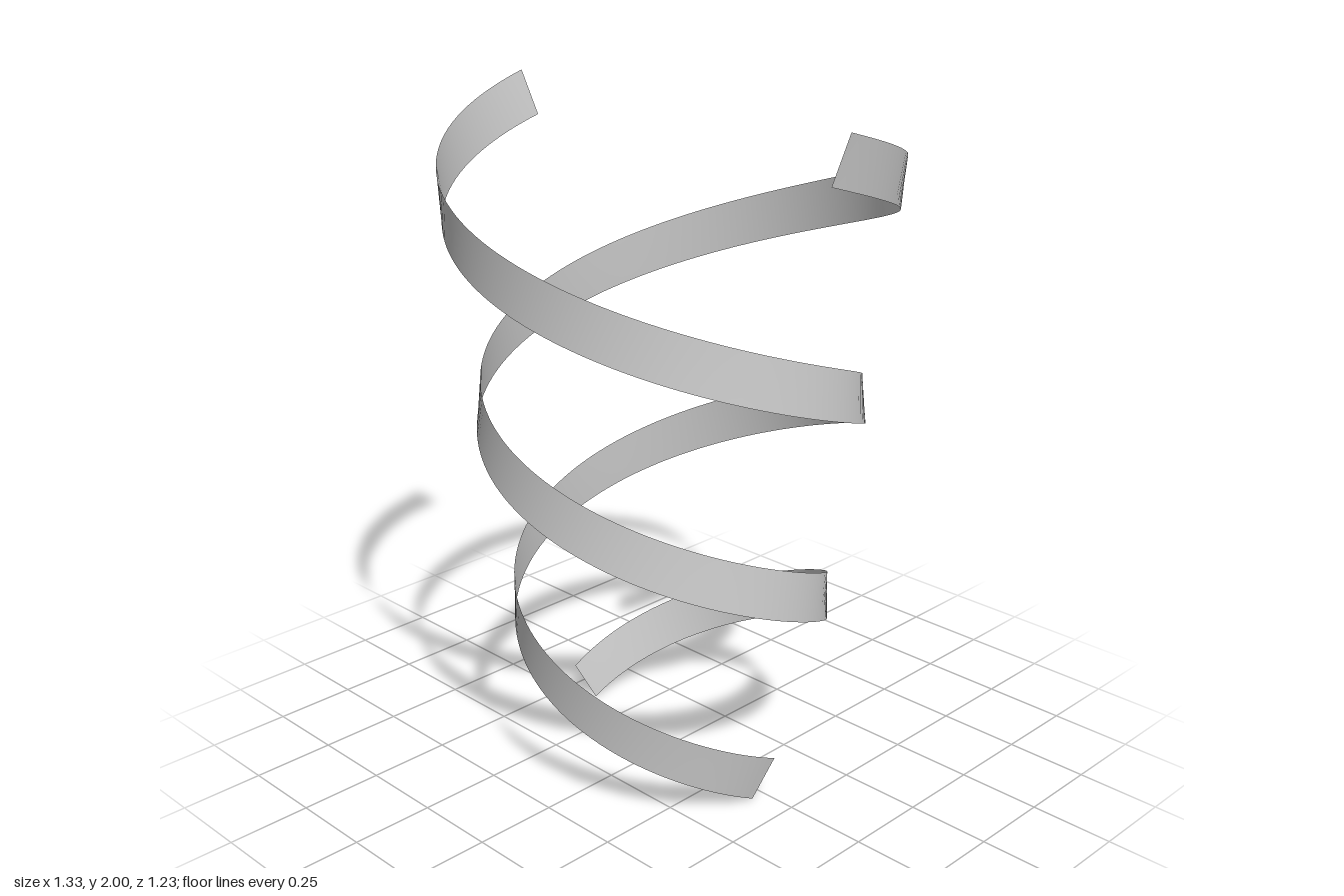
import * as THREE from 'three';

const SEGMENTS = 180;
const WIDTH = 0.141;
const START = 0.04, END = 3 * Math.PI + 0.097; // sweep of one ribbon
const RISE = 0.197;  // height gained per radian
const GROW = 0.0267; // radius gained per radian

// Centre line of a ribbon climbing a slightly widening cone
function centre(a) {
  const r = 0.402 + GROW * a;
  return new THREE.Vector3(r * Math.cos(a), 0.064 + RISE * (a - START), r * Math.sin(a));
}

// Thin band whose cross-section stays square to the climbing path
function ribbonGeometry() {
  const positions = [], index = [];
  for (let i = 0; i <= SEGMENTS; i++) {
    const t = i / SEGMENTS;
    const a = START + (END - START) * t;
    const p = centre(a);
    const radial = new THREE.Vector3(Math.cos(a), 0, Math.sin(a));
    const around = new THREE.Vector3(-Math.sin(a), 0, Math.cos(a));
    const slope = Math.atan2(RISE, 0.402 + GROW * a);
    // Band flares outward at both ends and leans inward at mid height
    const u = 2 * t - 1;
    const lean = -0.018 + 0.043 * u * u - 0.003 * u;
    const w = Math.sqrt(WIDTH * WIDTH - lean * lean);
    const across = new THREE.Vector3(0, w * Math.cos(slope), 0)
      .addScaledVector(around, -w * Math.sin(slope))
      .addScaledVector(radial, lean);
    for (const side of [-0.5, 0.5]) {
      positions.push(...p.clone().addScaledVector(across, side).toArray());
    }
    if (i < SEGMENTS) {
      const k = 2 * i;
      index.push(k, k + 1, k + 2, k + 1, k + 3, k + 2);
    }
  }
  const geometry = new THREE.BufferGeometry();
  geometry.setAttribute('position', new THREE.Float32BufferAttribute(positions, 3));
  geometry.setIndex(index);
  geometry.computeVertexNormals();
  return geometry;
}

export function createModel() {
  const model = new THREE.Group();
  model.name = 'doubleHelix';
  const grey = new THREE.MeshStandardMaterial({ color: 0xcccccc, side: THREE.DoubleSide });
  grey.name = 'light grey';
  const geometry = ribbonGeometry();
  // Two identical ribbons, half a turn apart
  ['firstRibbon', 'secondRibbon'].forEach((name, i) => {
    const ribbon = new THREE.Mesh(geometry, grey);
    ribbon.name = name;
    ribbon.rotation.y = i * Math.PI;
    model.add(ribbon);
  });
  return model;
}
